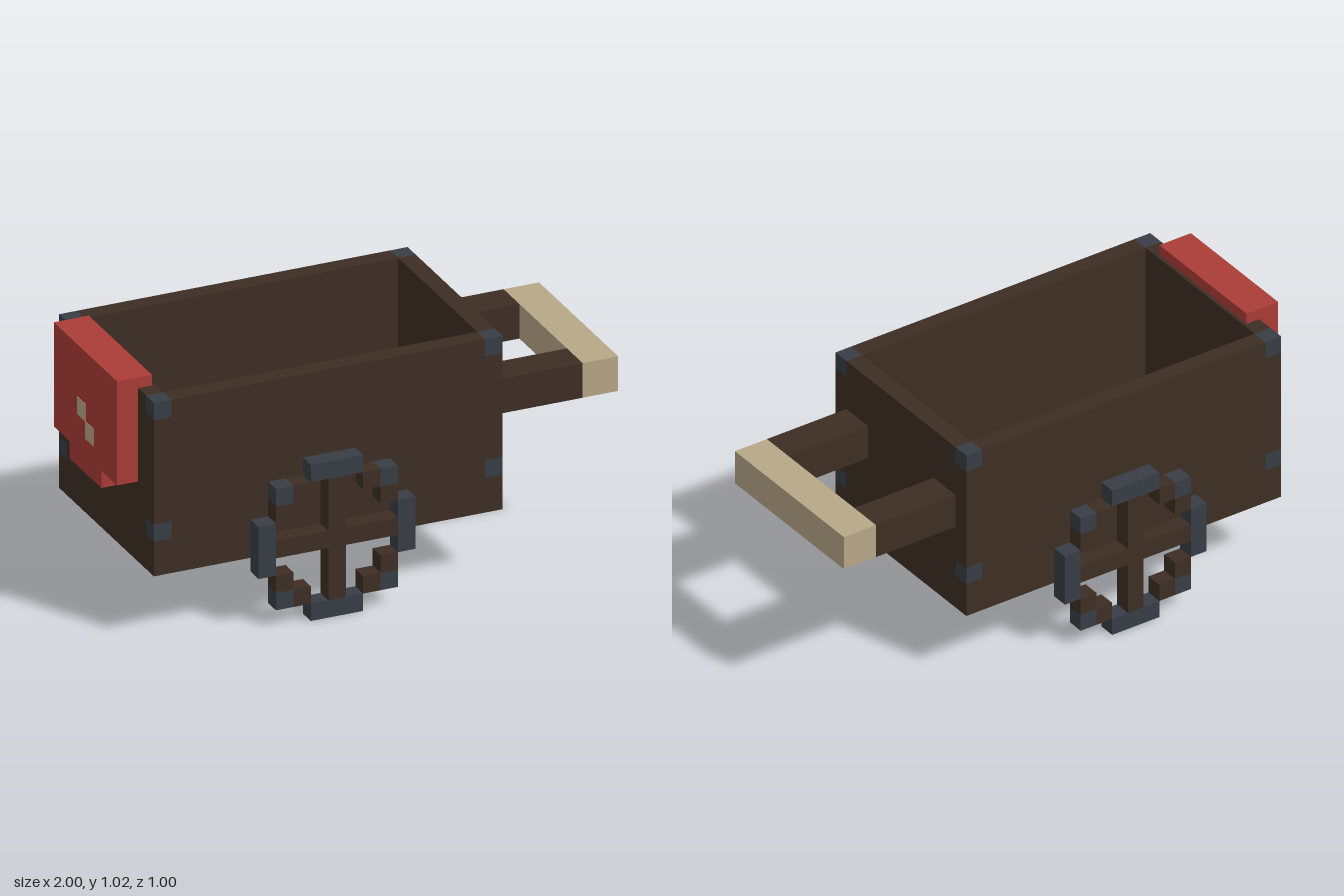
import * as THREE from 'three';

const U = 0.0707; // edge of one block

export function createModel() {
  const mat = (name, color) => {
    const m = new THREE.MeshStandardMaterial({ color });
    m.name = name;
    return m;
  };
  const wood = mat('dark wood', 0x3d2e24);
  const iron = mat('blue iron', 0x383e46);
  const pale = mat('pale wood', 0xb8a787);
  const red = mat('red cloth', 0xab3b37);

  const cart = new THREE.Group();
  cart.name = 'handcart';

  // Box given by its two opposite corners
  const box = (parent, name, material, x0, x1, y0, y1, z0, z1) => {
    const mesh = new THREE.Mesh(new THREE.BoxGeometry(x1 - x0, y1 - y0, z1 - z0), material);
    mesh.position.set((x0 + x1) / 2, (y0 + y1) / 2, (z0 + z1) / 2);
    mesh.name = name;
    parent.add(mesh);
  };

  // Open tub: floor, four walls and corner posts with iron blocks
  const tub = new THREE.Group();
  tub.name = 'tub';
  cart.add(tub);
  const X0 = -0.915, X1 = X0 + 20 * U, Y0 = 0.265, Y1 = Y0 + 10 * U, Z = 6 * U;
  box(tub, 'floor', wood, X0 + U, X1 - U, Y0, Y0 + U, -Z + U, Z - U);
  box(tub, 'frontWall', wood, X0 + U, X1 - U, Y0, Y1, Z - U, Z);
  box(tub, 'backWall', wood, X0 + U, X1 - U, Y0, Y1, -Z, -Z + U);
  box(tub, 'rightEndWall', wood, X0, X0 + U, Y0, Y1, -Z + U, Z - U);
  box(tub, 'leftEndWall', wood, X1 - U, X1, Y0, Y1, -Z + U, Z - U);
  for (const x of [X0, X1 - U]) {
    for (const z of [-Z, Z - U]) {
      for (const [a, b, m] of [[0, 2, wood], [2, 3, iron], [3, 9, wood], [9, 10, iron]]) {
        box(tub, m === iron ? 'cornerBracket' : 'cornerPost', m, x, x + U, Y0 + a * U, Y0 + b * U, z, z + U);
      }
    }
  }

  // Pull handle: two arms and a cross bar
  const handle = new THREE.Group();
  handle.name = 'handle';
  cart.add(handle);
  for (const z of [-5 * U, 3 * U]) box(handle, 'handleArm', wood, X1, 0.856, 0.62, 0.761, z, z + 2 * U);
  box(handle, 'handleBar', pale, 0.856, 1, 0.62, 0.761, -5 * U, 5 * U);

  // Cloth hung over the end wall, with a lower flap and two patches
  const cloth = new THREE.Group();
  cloth.name = 'cloth';
  cart.add(cloth);
  const top = 1.016, inner = -1 + 2 * U;
  box(cloth, 'clothPanel', red, -1, inner, top - 6 * U, top, -4 * U, 4 * U);
  box(cloth, 'clothFlap', red, -1, inner, top - 7 * U, top - 6 * U, -2 * U, 2 * U);
  box(cloth, 'patch', pale, -1.002, -0.998, top - 4 * U, top - 3 * U, -U, 0);
  box(cloth, 'patch', pale, -1.002, -0.998, top - 5 * U, top - 4 * U, 0, U);

  // Stepped wheels on a nine by nine grid: [column, row, width, height, material]
  const pieces = [[4, 1, 1, 7, wood], [1, 4, 3, 1, wood], [5, 4, 3, 1, wood]];
  for (const e of [0, 8]) pieces.push([3, e, 3, 1, iron], [e, 3, 1, 3, iron]);
  for (const c of [1, 7]) {
    for (const r of [1, 7]) {
      pieces.push([c, r, 1, 1, iron]);
      pieces.push([c === 1 ? 2 : 6, r, 1, 1, wood], [c, r === 1 ? 2 : 6, 1, 1, wood]);
    }
  }
  for (const side of [-1, 1]) {
    const wheel = new THREE.Group();
    wheel.name = side > 0 ? 'frontWheel' : 'backWheel';
    wheel.position.set(-0.526, 0, side * 0.467);
    for (const [c, r, w, h, m] of pieces) {
      box(wheel, m === iron ? 'wheelRim' : 'wheelWood', m, c * U, (c + w) * U, r * U, (r + h) * U, -U / 2, U / 2);
    }
    cart.add(wheel);
  }
  return cart;
}
